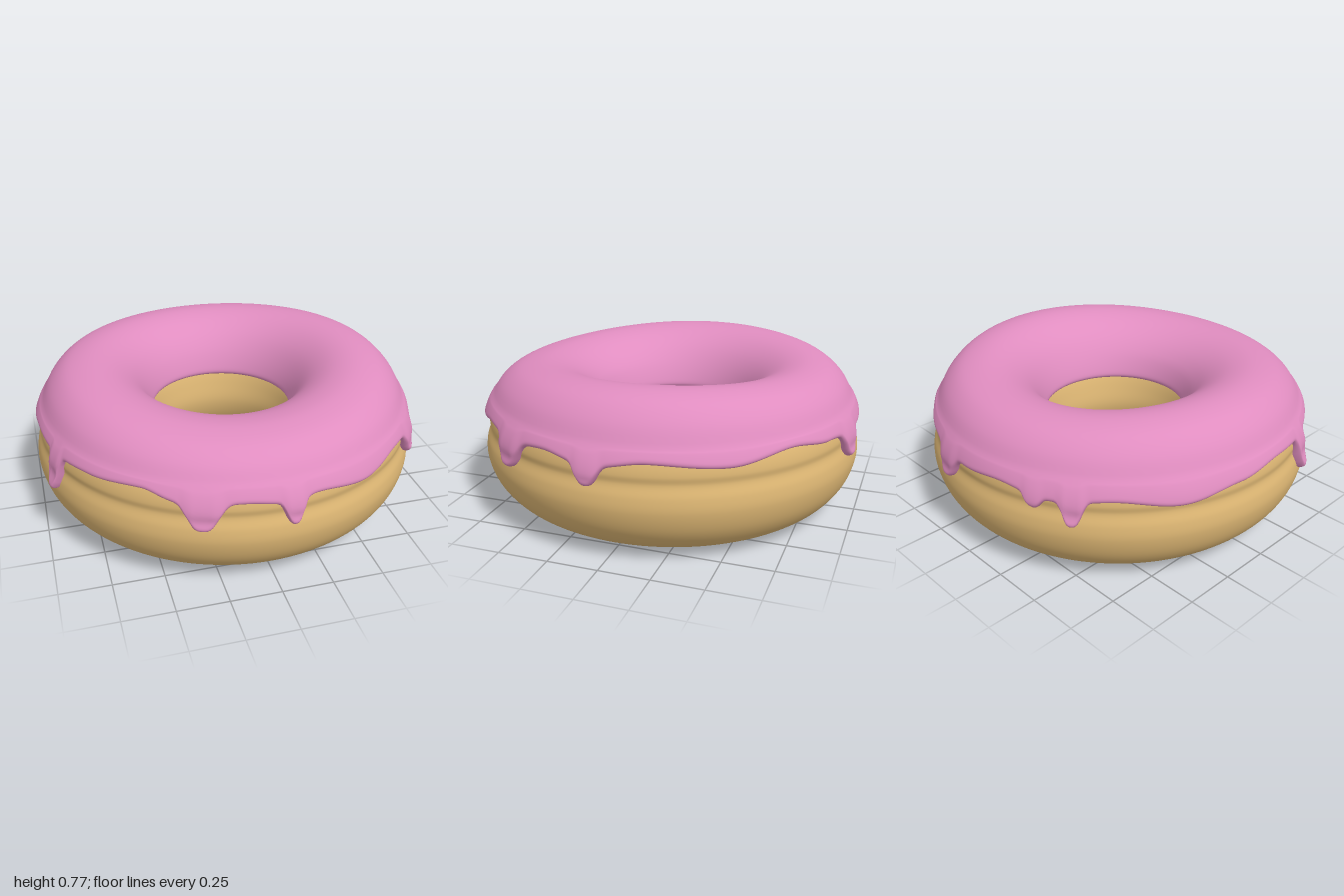
import * as THREE from 'three';

const RAD = Math.PI / 180;
const clamp01 = (v) => Math.min(1, Math.max(0, v));

// Smooth curve through [r, y] points, returned as n samples
function smooth(points, n, closed = false) {
  const curve = new THREE.CatmullRomCurve3(points.map(([r, y]) => new THREE.Vector3(r, y, 0)), closed, 'centripetal');
  const out = curve.getPoints(n).map((p) => [p.x, p.y]);
  if (closed) out.pop();
  return out;
}

// Sweep a cross-section round the ring; the section may change with the angle (0 = front, 90 = left)
function loftRing(section, segments, closed) {
  const pos = [], index = [];
  let m = 0;
  for (let i = 0; i < segments; i++) {
    const deg = -180 + (360 * i) / segments;
    const pts = section(deg);
    m = pts.length;
    for (const [r, y] of pts) {
      // the hole sits slightly further back than the outer rim
      const shift = -0.03 * Math.max(0, (1 - r) / 0.65);
      pos.push(-0.017 + r * Math.sin(deg * RAD), y, -0.003 + shift + r * Math.cos(deg * RAD));
    }
  }
  for (let i = 0; i < segments; i++) {
    const a = i * m, b = ((i + 1) % segments) * m;
    for (let j = 0; j < (closed ? m : m - 1); j++) {
      const k = (j + 1) % m;
      index.push(a + j, b + j, a + k, b + j, b + k, a + k);
    }
  }
  const geo = new THREE.BufferGeometry();
  geo.setAttribute('position', new THREE.Float32BufferAttribute(pos, 3));
  geo.setIndex(index);
  geo.computeVertexNormals();
  return geo;
}

// Dough cross-section: flat base, soft groove round the outside, flared hole
const doughSection = smooth([
  [0.66, 0.002], [0.78, 0.025], [0.88, 0.085], [0.95, 0.175], [0.981, 0.28], [0.976, 0.35],
  [0.957, 0.41], [0.96, 0.45], [0.945, 0.51], [0.905, 0.58], [0.83, 0.645], [0.67, 0.68],
  [0.53, 0.645], [0.45, 0.56], [0.39, 0.47], [0.36, 0.38], [0.345, 0.28], [0.37, 0.18],
  [0.43, 0.09], [0.53, 0.022],
], 120, true);

// Outer radius of the dough at a height
function doughRadius(y) {
  for (let i = 1; i < doughSection.length; i++) {
    const [r0, y0] = doughSection[i - 1], [r1, y1] = doughSection[i];
    if (r0 > 0.8 && y >= y0 && y < y1) return r0 + ((r1 - r0) * (y - y0)) / (y1 - y0);
  }
  return 0.9;
}

// Wavy lower edge of the icing: [angle, height]
const edgeKeys = [
  [-180, 0.47], [-168, 0.485], [-152, 0.455], [-135, 0.475], [-117, 0.44], [-100, 0.475], [-85, 0.5],
  [-69, 0.49], [-54, 0.5], [-37, 0.518], [-27, 0.485], [-9, 0.485], [4, 0.465], [11, 0.485],
  [27, 0.455], [43, 0.492], [58, 0.48], [72, 0.5], [86, 0.47], [102, 0.505], [124, 0.482],
  [143, 0.52], [158, 0.49], [170, 0.47], [180, 0.47],
];
// Drips: [angle, half width in degrees, depth]
const drips = [
  [-157, 2.6, 0.055], [-146, 3, 0.11], [-69, 2.6, 0.17], [-20, 5, 0.125], [4, 2.8, 0.1],
  [57.5, 4.8, 0.12], [86, 3.5, 0.085], [170, 4.2, 0.11],
];

function edgeHeight(deg) {
  let y = 0.47;
  for (let i = 1; i < edgeKeys.length; i++) {
    const [a0, y0] = edgeKeys[i - 1], [a1, y1] = edgeKeys[i];
    if (deg >= a0 && deg <= a1) y = y0 + (y1 - y0) * THREE.MathUtils.smoothstep(deg, a0, a1);
  }
  for (const [a, w, d] of drips) y -= d * Math.exp(-(Math.abs((deg - a) / w) ** 3));
  return y;
}

// Icing above the wavy edge, from the outer side over the top and into the hole
const icingTop = smooth([
  [0.938, 0.57], [0.89, 0.65], [0.82, 0.71], [0.74, 0.737], [0.655, 0.742], [0.56, 0.718],
  [0.47, 0.66], [0.405, 0.58], [0.366, 0.49], [0.362, 0.46], [0.375, 0.445], [0.41, 0.45],
], 44);

function icingSection(deg) {
  const edge = edgeHeight(deg), a = deg * RAD;
  const thick = 0.028 + 0.016 * clamp01((0.46 - edge) / 0.08);
  const pts = [[doughRadius(edge) - 0.015, edge + 0.003]];
  // rounded lip and outer wall
  for (let i = 0; i < 18; i++) {
    const s = (i / 18) ** 2;
    const y = edge + (0.57 - edge) * s;
    const round = Math.sqrt(1 - (1 - clamp01((y - edge) / 0.03)) ** 2);
    pts.push([doughRadius(y) + THREE.MathUtils.lerp(thick, 0.029, s) * round, y]);
  }
  // gently uneven top
  const lift = -0.0125 * Math.cos(a) + 0.005 * Math.sin(a) - 0.019 * Math.cos(2 * a);
  for (const [r, y] of icingTop) pts.push([r, y + lift * clamp01((y - 0.57) / 0.17)]);
  return pts;
}

export function createModel() {
  const model = new THREE.Group();
  model.name = 'donut';

  const doughColor = new THREE.MeshStandardMaterial({ color: 0xdeb774 });
  doughColor.name = 'golden dough';
  const icingColor = new THREE.MeshStandardMaterial({ color: 0xe08dc0, side: THREE.DoubleSide });
  icingColor.name = 'pink icing';

  const dough = new THREE.Mesh(loftRing(() => doughSection, 128, true), doughColor);
  dough.name = 'dough';
  const icing = new THREE.Mesh(loftRing(icingSection, 540, false), icingColor);
  icing.name = 'icing';

  model.add(dough, icing);
  return model;
}
